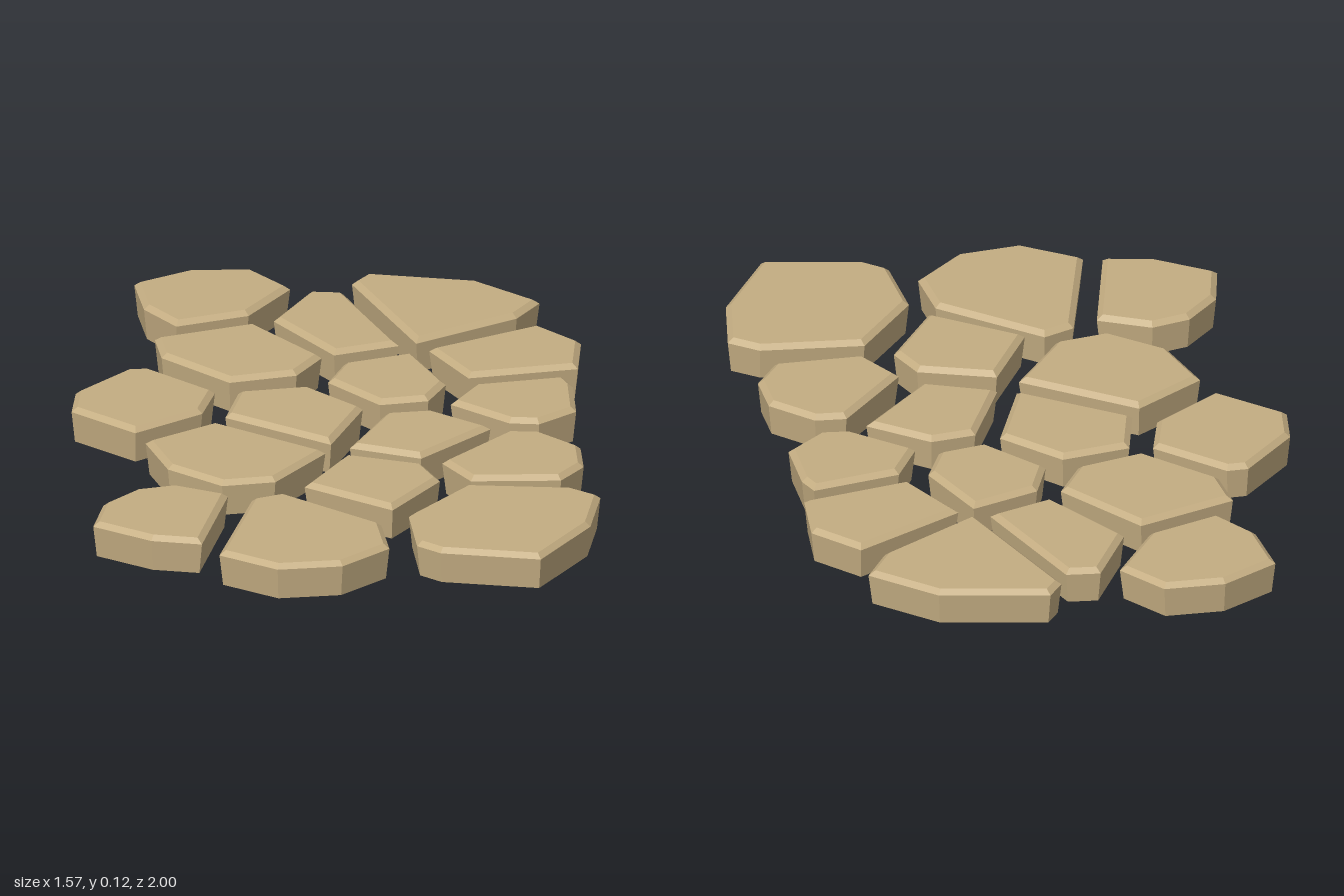
import * as THREE from 'three';

const THICK = 0.092;

// Offsets a clockwise (seen from above) outline inwards by d, at height y
function ring(outline, d, y) {
  const n = outline.length;
  const inward = (a, b) => new THREE.Vector2(a[1] - b[1], b[0] - a[0]).normalize();
  return outline.map((p, i) => {
    const n1 = inward(outline[(i + n - 1) % n], p);
    const n2 = inward(p, outline[(i + 1) % n]);
    const k = d / (1 + n1.dot(n2));
    return [p[0] + (n1.x + n2.x) * k, y, p[1] + (n1.y + n2.y) * k];
  });
}

// Flat stone: slightly tapered walls, bevelled top edge, flat top and underside
function stoneGeometry(outline, base) {
  const n = outline.length;
  const rings = [
    ring(outline, 0.008, base),
    ring(outline, 0, base + THICK - 0.012),
    ring(outline, 0.014, base + THICK),
  ];
  const pos = [];
  const tri = (...corners) => corners.forEach((c) => pos.push(...c));
  for (let r = 0; r < 2; r++) {
    const lo = rings[r], up = rings[r + 1];
    for (let i = 0; i < n; i++) {
      const j = (i + 1) % n;
      tri(lo[j], lo[i], up[i]);
      tri(lo[j], up[i], up[j]);
    }
  }
  for (let i = 1; i < n - 1; i++) {
    tri(rings[0][0], rings[0][i], rings[0][i + 1]);
    tri(rings[2][0], rings[2][i + 1], rings[2][i]);
  }
  const geo = new THREE.BufferGeometry();
  geo.setAttribute('position', new THREE.Float32BufferAttribute(pos, 3));
  geo.computeVertexNormals();
  return geo;
}

export function createModel() {
  const group = new THREE.Group();
  group.name = 'steppingStones';
  const sandstone = new THREE.MeshStandardMaterial({ color: 0xc4ad82, flatShading: true });
  sandstone.name = 'sandstone';

  // Outline corners are [x, z]
  const stone = (name, base, ...outline) => {
    const mesh = new THREE.Mesh(stoneGeometry(outline, base), sandstone);
    mesh.name = name;
    group.add(mesh);
  };

  // Back rows
  stone('backStone', 0.023, [-0.09, -0.98], [0.07, -1], [0.21, -0.94], [0.25, -0.8], [0.09, -0.69], [-0.1, -0.7], [-0.13, -0.83]);
  stone('backMiddleStone', 0.02, [-0.18, -0.65], [0.08, -0.635], [0.15, -0.38], [0.05, -0.305], [-0.12, -0.33], [-0.21, -0.54]);
  stone('backNarrowStone', 0.015, [0.29, -0.775], [0.365, -0.735], [0.36, -0.385], [0.19, -0.395], [0.14, -0.65]);
  stone('backLeftStone', 0.02, [0.46, -0.81], [0.69, -0.66], [0.78, -0.48], [0.69, -0.415], [0.4, -0.37], [0.405, -0.775]);
  stone('backRightStone', 0.01, [-0.31, -0.52], [-0.26, -0.5], [-0.17, -0.305], [-0.25, -0.2], [-0.45, -0.155], [-0.54, -0.34], [-0.485, -0.44]);

  // Middle rows
  stone('centreStone', 0.012, [-0.12, -0.275], [0.05, -0.235], [0.12, -0.06], [-0.04, 0.11], [-0.21, -0.15]);
  stone('centreBackStone', 0.012, [0.19, -0.335], [0.37, -0.325], [0.37, -0.12], [0.29, -0.045], [0.17, -0.07], [0.11, -0.25]);
  stone('middleLeftStone', 0.015, [0.415, -0.325], [0.72, -0.355], [0.775, -0.215], [0.705, -0.075], [0.435, -0.13]);
  stone('middleRightStone', 0.012, [-0.455, -0.08], [-0.25, -0.12], [-0.075, 0.155], [-0.26, 0.27], [-0.39, 0.24], [-0.47, 0.09]);
  stone('centreFrontStone', 0.01, [0.16, -0.01], [0.27, 0.02], [0.36, 0.175], [0.13, 0.275], [-0.005, 0.145]);
  stone('middleLeftFrontStone', 0.013, [0.43, -0.08], [0.65, -0.035], [0.65, 0.02], [0.595, 0.165], [0.48, 0.2], [0.415, 0.165], [0.33, 0]);

  // Front rows
  stone('frontRightOuterStone', 0.014, [-0.6, 0.19], [-0.5, 0.205], [-0.405, 0.31], [-0.585, 0.56], [-0.69, 0.49], [-0.785, 0.35], [-0.71, 0.24]);
  stone('frontRightStone', 0, [-0.35, 0.33], [-0.265, 0.33], [-0.12, 0.6], [-0.16, 0.74], [-0.31, 0.795], [-0.465, 0.75], [-0.56, 0.61]);
  stone('frontMiddleStone', 0.015, [-0.04, 0.2], [0.11, 0.33], [0.11, 0.435], [-0.07, 0.555], [-0.21, 0.335]);
  stone('frontLeftStone', 0.015, [0.385, 0.225], [0.455, 0.26], [0.51, 0.385], [0.47, 0.495], [0.385, 0.55], [0.18, 0.465], [0.16, 0.335]);
  stone('frontStone', 0.02, [0.15, 0.505], [0.38, 0.625], [0.425, 0.7], [0.33, 0.855], [0.135, 0.995], [-0.075, 0.86], [-0.11, 0.795], [-0.055, 0.62]);

  return group;
}
